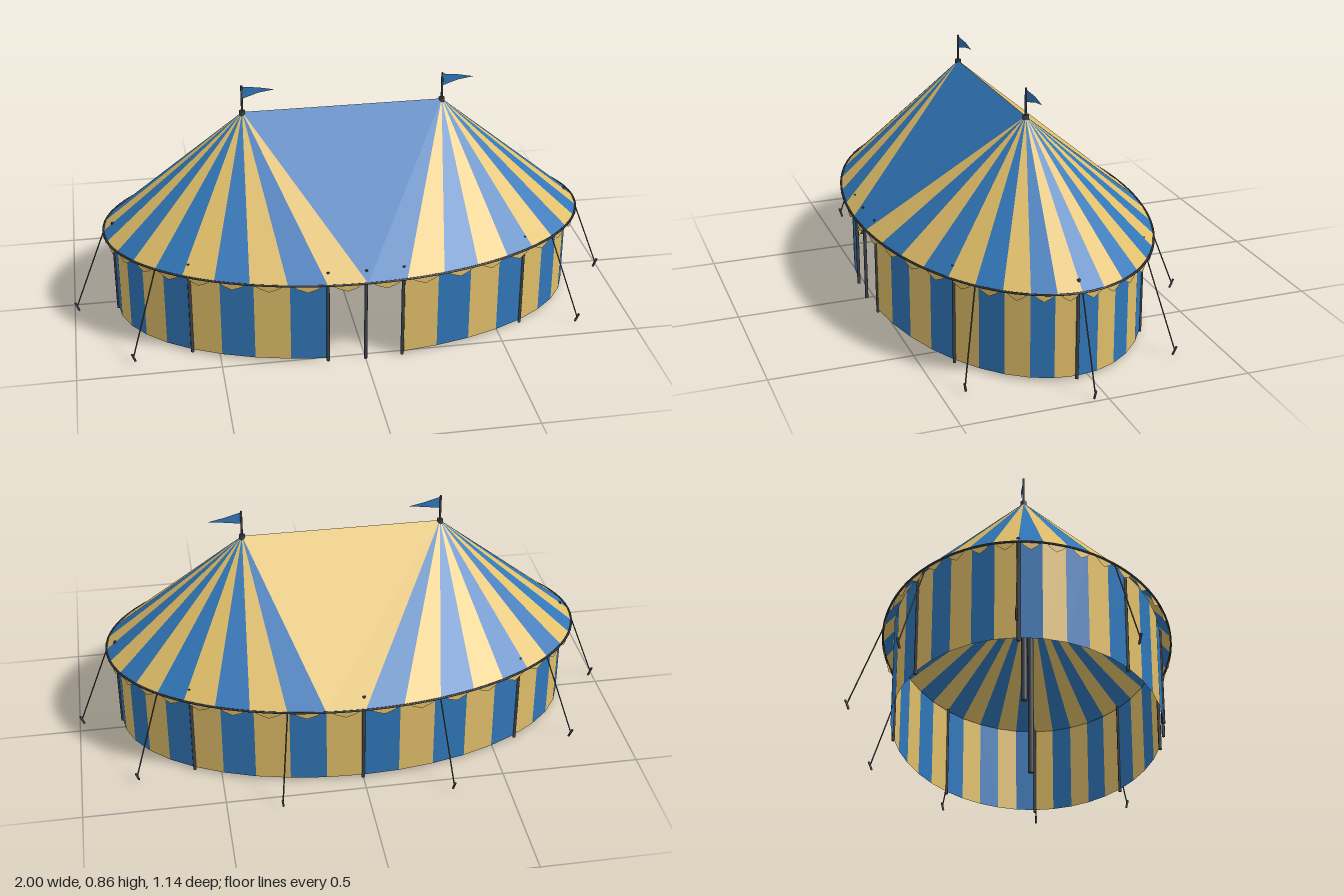
import * as THREE from 'three';

const N = 40;                       // striped panels around the tent
const CZ = 0.045;                   // tent centre in z
const ROOF = [0.875, 0.52], WALL = [0.84, 0.482];
const EAVE = 0.325, PEAK = 0.757, PEAK_X = 0.36;

const mat = (name, color, side = THREE.FrontSide) => {
  const m = new THREE.MeshStandardMaterial({ color, side });
  m.name = name;
  return m;
};

// Point on an ellipse; k counts panels from the front towards +x
function rim([a, b], k, y, out = 0) {
  const t = (k / N) * Math.PI * 2;
  return new THREE.Vector3((a + out) * Math.sin(t), y, CZ + (b + out) * Math.cos(t));
}

// Flat-shaded mesh from a list of convex polygons
function polyMesh(name, polys, material) {
  const pos = [];
  for (const p of polys)
    for (let i = 1; i < p.length - 1; i++)
      for (const v of [p[0], p[i], p[i + 1]]) pos.push(v.x, v.y, v.z);
  const g = new THREE.BufferGeometry();
  g.setAttribute('position', new THREE.Float32BufferAttribute(pos, 3));
  g.computeVertexNormals();
  const m = new THREE.Mesh(g, material);
  m.name = name;
  return m;
}

// Round bar between two points
function bar(name, a, b, r, material, sides = 8) {
  const m = new THREE.Mesh(new THREE.CylinderGeometry(r, r, a.distanceTo(b), sides), material);
  m.position.copy(a).add(b).multiplyScalar(0.5);
  m.quaternion.setFromUnitVectors(new THREE.Vector3(0, 1, 0), b.clone().sub(a).normalize());
  m.name = name;
  return m;
}

export function createModel() {
  const tent = new THREE.Group();
  tent.name = 'stripedTent';
  const blue = mat('blueCanvas', 0x3076b8, THREE.DoubleSide);
  const yellow = mat('yellowCanvas', 0xe0be69, THREE.DoubleSide);
  const pole = mat('darkPole', 0x40444a);
  const rope = mat('rope', 0x55534e);
  const trim = mat('eaveTrim', 0x2f3337);

  // Roof and wall stripes, gathered by colour
  const roof = [[], []], wall = [[], []], scallops = [];
  const apex = (s) => new THREE.Vector3(s * PEAK_X, PEAK, CZ);
  const sideOf = (k) => (k > 0 && k < N / 2 ? 1 : -1);
  for (let k = 0; k < N; k++) {
    const s0 = sideOf(k), s1 = sideOf(k + 1);
    const panel = [rim(ROOF, k, EAVE), rim(ROOF, k + 1, EAVE), apex(s1)];
    if (s0 !== s1) panel.push(apex(s0));
    roof[k % 2].push(panel);

    // Doorway is the two panels at the front
    if (k !== 0 && k !== N - 1)
      wall[k % 2].push([rim(WALL, k, 0.01), rim(WALL, k + 1, 0.01),
        rim(WALL, k + 1, 0.35), rim(WALL, k, 0.35)]);

    // One hanging scallop per panel
    const chord = (f, y) => rim(ROOF, k, y).lerp(rim(ROOF, k + 1, y), f);
    scallops.push([chord(0.08, EAVE), chord(0.27, EAVE - 0.015), chord(0.5, EAVE - 0.027),
      chord(0.73, EAVE - 0.015), chord(0.92, EAVE)]);
  }
  [blue, yellow].forEach((m, i) => {
    tent.add(polyMesh('roofStripes', roof[i], m), polyMesh('wallStripes', wall[i], m));
  });
  tent.add(polyMesh('valance', scallops, yellow));

  // Eave cord
  const loop = new THREE.CatmullRomCurve3(
    Array.from({ length: N }, (_, k) => rim(ROOF, k, EAVE)), true);
  const cord = new THREE.Mesh(new THREE.TubeGeometry(loop, 120, 0.004, 6, true), trim);
  cord.name = 'eaveCord';
  tent.add(cord);

  // Wall posts, with two extra beside the doorway
  for (const k of [0, 1, 5, 10, 15, 20, 25, 30, 35, 39])
    tent.add(bar('wallPost', rim(WALL, k, 0), rim(WALL, k, 0.357), 0.006, pole));

  // Main poles, caps, masts and pennants
  for (const s of [-1, 1]) {
    const at = (y, dx = 0, dz = 0) => new THREE.Vector3(s * PEAK_X + dx, y, CZ + dz);
    tent.add(
      bar('mainPole', at(0), at(PEAK), 0.011, pole, 12),
      bar('poleCap', at(0.748), at(0.762), 0.011, pole, 12),
      bar('flagMast', at(0.76), at(0.857), 0.004, pole),
      polyMesh('pennant', [[at(0.807), at(0.822, 0.06, -0.011), at(0.842, 0.06, -0.011), at(0.853)],
        [at(0.822, 0.06, -0.011), at(0.83, 0.118, -0.012), at(0.842, 0.06, -0.011)]], blue));
  }

  // Guy ropes and ground stakes, none in front of the door
  for (let k = 6; k <= 34; k += 4) {
    tent.add(
      bar('guyRope', rim(ROOF, k, EAVE - 0.003), rim(ROOF, k, 0.02, 0.116), 0.0025, rope, 6),
      bar('stake', rim(ROOF, k, 0.001, 0.109), rim(ROOF, k, 0.034, 0.122), 0.004, pole, 6));
  }
  return tent;
}
